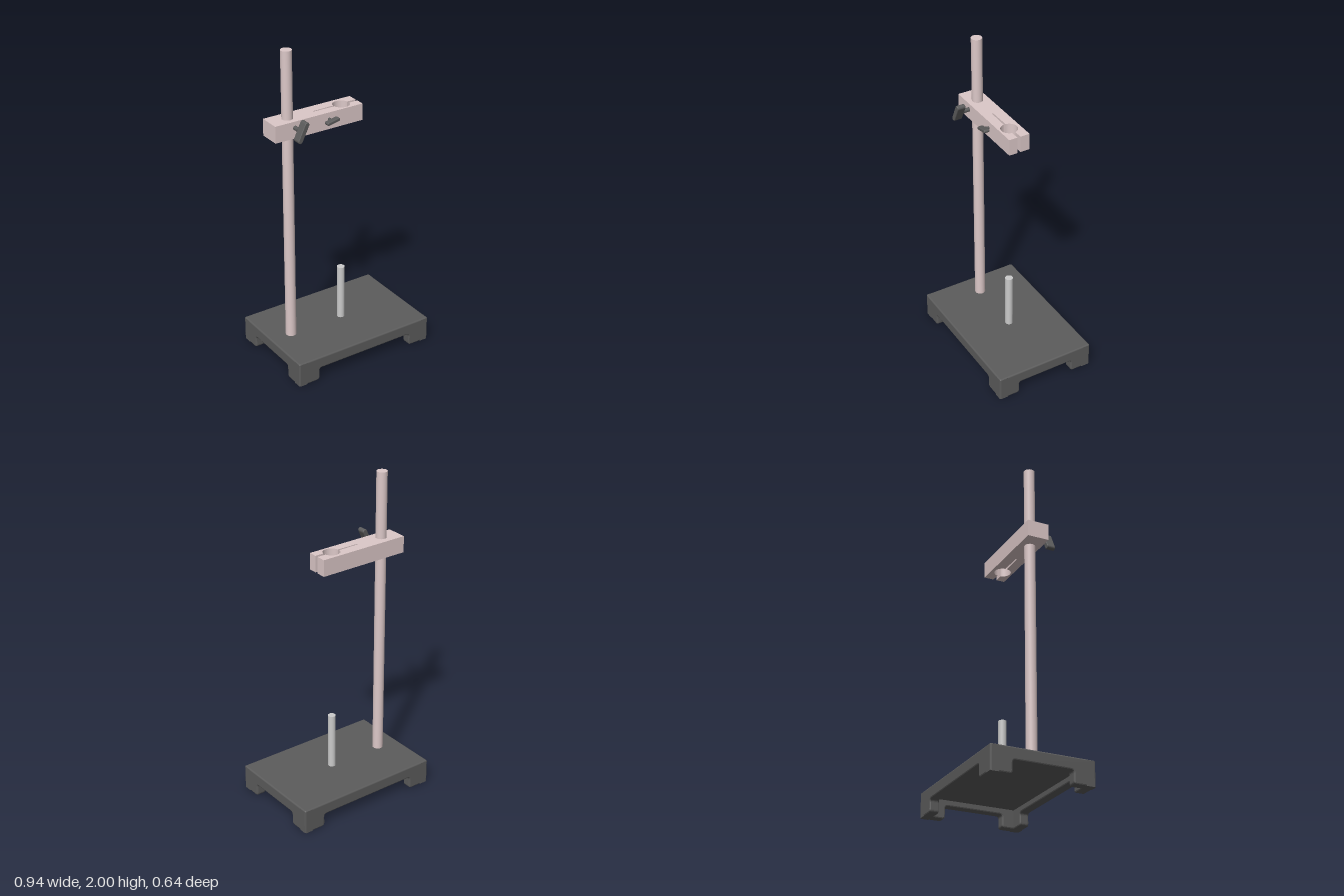
import * as THREE from 'three';
import { RoundedBoxGeometry } from 'three/addons/geometries/RoundedBoxGeometry.js';

const dark = new THREE.MeshStandardMaterial({ color: 0x5c5c5c });
const rose = new THREE.MeshStandardMaterial({ color: 0xdcc8c8 });
const grey = new THREE.MeshStandardMaterial({ color: 0xcccccc });

export function createModel() {
  const model = new THREE.Group();
  model.name = 'clampStand';
  const add = (name, geometry, material, parent = model) => {
    const mesh = new THREE.Mesh(geometry, material);
    mesh.name = name;
    parent.add(mesh);
    return mesh;
  };

  // Base: a plate with thin skirt walls, notched so that corner feet remain
  const base = new THREE.Group();
  base.name = 'base';
  model.add(base);
  const W = 0.472, D = 0.32, wall = 0.06;
  add('basePlate', new RoundedBoxGeometry(2 * W, 0.04, 2 * D, 3, 0.01), dark, base).position.y = 0.135;

  const skirt = (half, inner) => {
    const r = 0.018, h = 0.08, s = new THREE.Shape();
    s.moveTo(-half, 0);
    s.lineTo(-inner - r, 0);
    s.quadraticCurveTo(-inner, 0, -inner, r);
    s.lineTo(-inner, h - r);
    s.quadraticCurveTo(-inner, h, -inner + r, h);
    s.lineTo(inner - r, h);
    s.quadraticCurveTo(inner, h, inner, h - r);
    s.lineTo(inner, r);
    s.quadraticCurveTo(inner, 0, inner + r, 0);
    s.lineTo(half, 0);
    s.lineTo(half, 0.15);
    s.lineTo(-half, 0.15);
    const b = 0.008;
    const g = new THREE.ExtrudeGeometry(s, {
      depth: wall - 2 * b, bevelThickness: b, bevelSize: b, bevelOffset: -b, bevelSegments: 2, curveSegments: 5,
    });
    return g.translate(0, 0, b - wall);
  };
  const sides = [
    ['frontSkirt', W, 0.33, D, 0], ['leftSkirt', D, 0.185, W, 1],
    ['backSkirt', W, 0.33, D, 2], ['rightSkirt', D, 0.185, W, 3],
  ];
  for (const [name, half, inner, out, turn] of sides) {
    const g = skirt(half, inner).translate(0, 0, out).rotateY(turn * Math.PI / 2);
    add(name, g, dark, base);
  }

  // Upright rods
  const rod = (name, x, radius, top, material) => {
    const y0 = 0.14, h = top - y0;
    add(name, new THREE.CylinderGeometry(radius, radius, h, 40), material).position.set(x, y0 + h / 2, 0);
  };
  rod('tallRod', -0.33, 0.033, 2, rose);
  rod('shortRod', 0.035, 0.024, 0.51, grey);

  // Clamp arm: split block with a round jaw and a tapering slit
  const R = 0.051, cx = 0.035, a = Math.asin(0.01 / R), c = Math.asin(0.006 / R);
  const arm = new THREE.Shape();
  arm.moveTo(-0.447, -0.063);
  arm.lineTo(0.142, -0.063);
  arm.lineTo(0.142, -0.01);
  arm.lineTo(cx + R * Math.cos(a), -0.01);
  arm.absarc(cx, 0, R, -a, -Math.PI + c, true);
  arm.lineTo(-0.155, -0.004);
  arm.lineTo(-0.155, 0.004);
  arm.lineTo(cx - R * Math.cos(c), 0.006);
  arm.absarc(cx, 0, R, Math.PI - c, a, true);
  arm.lineTo(0.142, 0.01);
  arm.lineTo(0.142, 0.07);
  arm.lineTo(-0.447, 0.07);
  const armGeometry = new THREE.ExtrudeGeometry(arm, { depth: 0.103, bevelEnabled: false, curveSegments: 28 });
  add('clampArm', armGeometry.rotateX(-Math.PI / 2).translate(0, 1.486, 0), rose);

  // Thumb screws: a flat rounded paddle on a stem with a small collar
  const thumbScrew = (name, x, y, length, thick, z0, z1, stem, tilt) => {
    const screw = new THREE.Group();
    screw.name = name;
    screw.position.set(x, y, 0);
    screw.rotation.z = tilt;
    model.add(screw);
    const r = thick / 2, k = length / 2 - r, s = new THREE.Shape();
    s.absarc(k, 0, r, -Math.PI / 2, Math.PI / 2, false);
    s.absarc(-k, 0, r, Math.PI / 2, Math.PI * 1.5, false);
    const b = 0.005;
    const paddle = new THREE.ExtrudeGeometry(s, {
      depth: z1 - z0 - 2 * b, bevelThickness: b, bevelSize: b, bevelOffset: -b, bevelSegments: 3, curveSegments: 10,
    });
    add('paddle', paddle.translate(0, 0, z0 + b), dark, screw);
    const len = z0 - 0.05;
    const shaft = new THREE.CylinderGeometry(stem, stem, len, 20).rotateX(Math.PI / 2);
    add('stem', shaft, dark, screw).position.z = 0.05 + len / 2 + 0.003;
    const collar = new THREE.CylinderGeometry(stem * 1.2, stem, 0.012, 20).rotateX(Math.PI / 2);
    add('collar', collar, dark, screw).position.z = z0 - 0.004;
  };
  thumbScrew('rodScrew', -0.318, 1.551, 0.13, 0.03, 0.105, 0.158, 0.013, 1.12);
  thumbScrew('jawScrew', -0.089, 1.548, 0.088, 0.02, 0.08, 0.115, 0.009, 0.2);

  return model;
}
